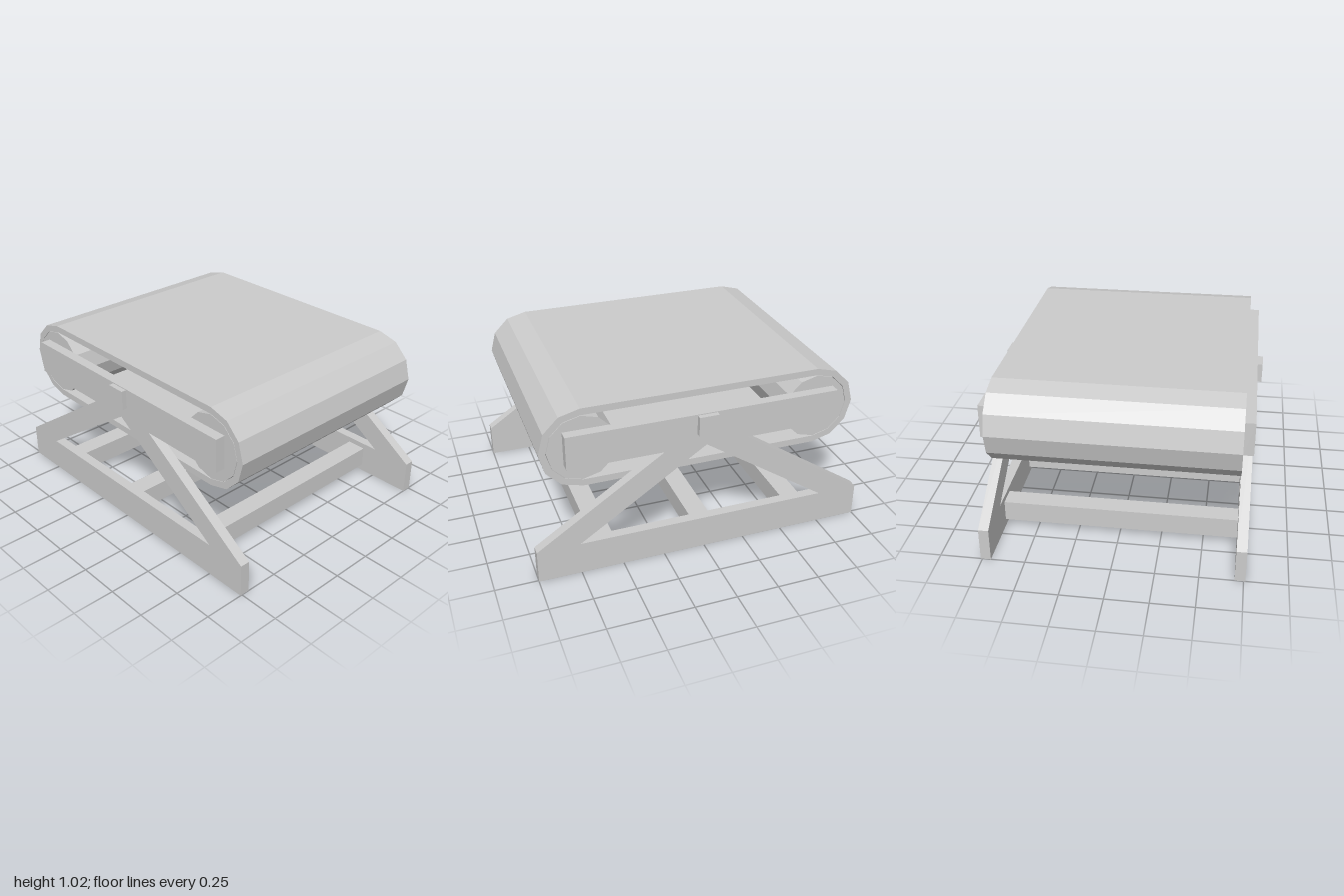
import * as THREE from 'three';

const AXLE_Y = 0.785, AXLE_Z = 0.7, WIDTH = 1.4;

export function createModel() {
  const model = new THREE.Group();
  model.name = 'beltConveyor';
  const material = new THREE.MeshStandardMaterial({ color: 0xcccccc, flatShading: true });

  const add = (name, geometry, x = 0, y = 0, z = 0) => {
    const mesh = new THREE.Mesh(geometry, material);
    mesh.name = name;
    mesh.position.set(x, y, z);
    model.add(mesh);
    return mesh;
  };

  // Extrude a side-on profile (z, y) across x, centred on x = 0
  const extrudeAcross = (shape, depth) =>
    new THREE.ExtrudeGeometry(shape, { depth, bevelEnabled: false })
      .translate(0, 0, -depth / 2)
      .rotateY(-Math.PI / 2);

  const points = (list) => list.map(([z, y]) => new THREE.Vector2(z, y));

  // Loop of two faceted half circles joined by straight runs
  const loop = (radius) => {
    const list = [];
    for (const side of [1, -1]) {
      for (let i = 0; i <= 6; i++) {
        const a = -Math.PI / 2 + (i * Math.PI) / 6;
        list.push([side * (AXLE_Z + radius * Math.cos(a)), AXLE_Y + side * radius * Math.sin(a)]);
      }
    }
    return points(list);
  };

  // Belt
  const belt = new THREE.Shape(loop(0.24));
  belt.holes.push(new THREE.Path(loop(0.2)));
  add('belt', extrudeAcross(belt, WIDTH));

  // Rollers inside both ends of the belt
  for (const side of [1, -1]) {
    const roller = new THREE.CylinderGeometry(0.197, 0.197, WIDTH, 12).rotateZ(Math.PI / 2);
    add(side > 0 ? 'frontRoller' : 'backRoller', roller, 0, AXLE_Y, side * AXLE_Z);
  }

  // Side frames: foot rail, two sloping legs and top rail in one plate
  const frame = new THREE.Shape(points([
    [-1, 0], [1, 0], [1, 0.2], [0.25, 0.7], [0.805, 0.7], [0.805, 0.9],
    [-0.805, 0.9], [-0.805, 0.7], [-0.25, 0.7], [-1, 0.2],
  ]));
  frame.holes.push(new THREE.Path(points([[-0.75, 0.2], [0, 0.7], [0.75, 0.2]])));
  const frameGeometry = extrudeAcross(frame, 0.06);

  for (const side of [1, -1]) {
    const label = side > 0 ? 'left' : 'right';
    add(label + 'Frame', frameGeometry, side * 0.73);
    // Small block on the outside of the top rail
    add(label + 'Block', new THREE.BoxGeometry(0.03, 0.117, 0.117), side * 0.775, 0.836, 0);
  }

  // Cross bars between the foot rails
  for (const z of [-0.6, 0, 0.6]) {
    add('crossBar', new THREE.BoxGeometry(WIDTH, 0.125, 0.12), 0, 0.104, z);
  }

  return model;
}
